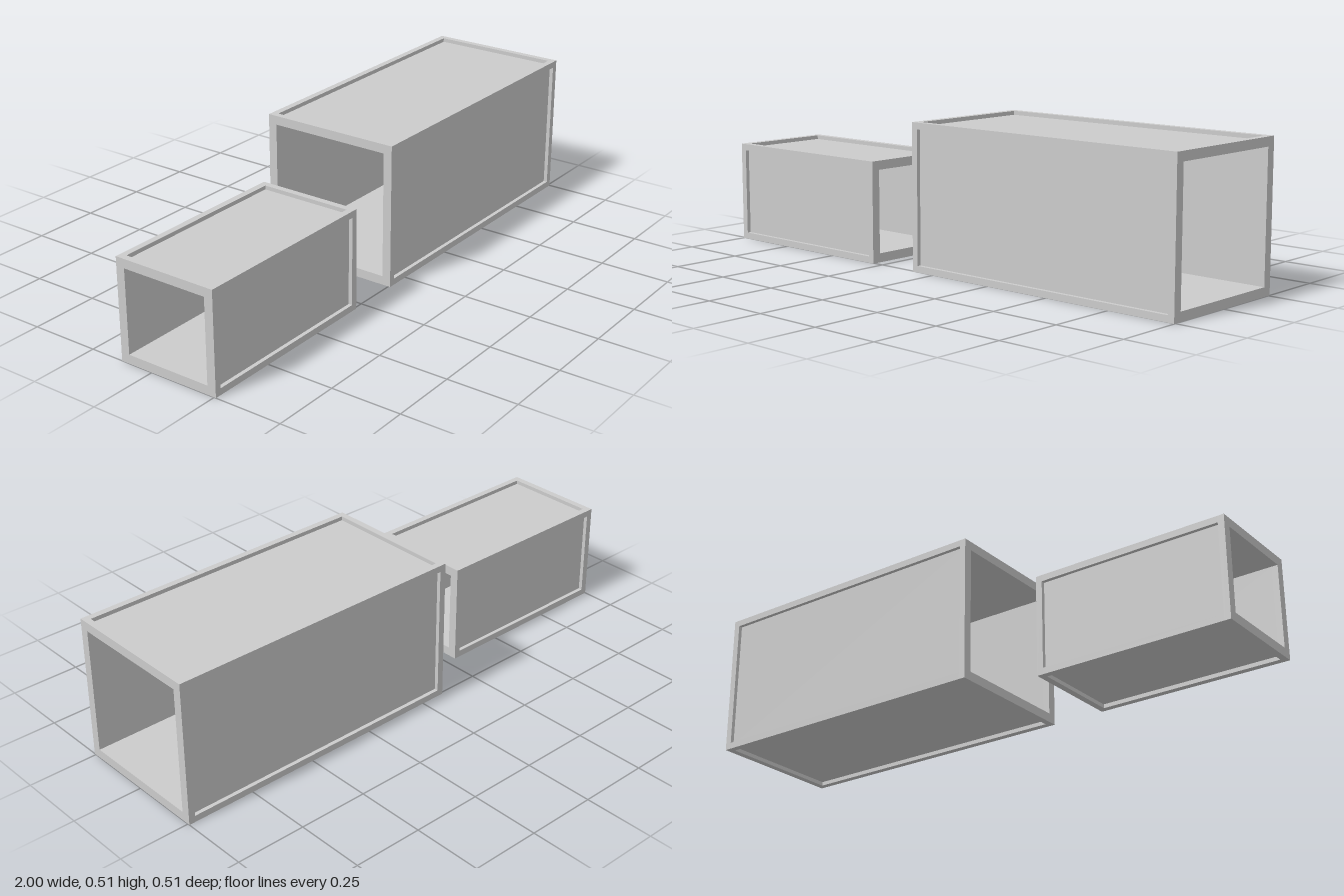
import * as THREE from 'three';

const WALL = 0.032;   // wall thickness
const RIM = 0.023;    // raised border around each panel
const DEPTH = 0.014;  // how far each panel is sunk

// Rectangular tube section in (z, y), optionally with a sunken panel on each outer side
function tubeSection(w, h, sunken) {
  const a = w / 2, b = h / 2, pts = [];
  // corners counter-clockwise
  const corners = [[-a, -b], [a, -b], [a, b], [-a, b]];
  corners.forEach((c, i) => {
    const n = corners[(i + 1) % 4];
    const len = Math.hypot(n[0] - c[0], n[1] - c[1]);
    const u = [(n[0] - c[0]) / len, (n[1] - c[1]) / len]; // along the side
    const at = (s, d) => new THREE.Vector2(c[0] + u[0] * s - u[1] * d, c[1] + u[1] * s + u[0] * d);
    pts.push(at(0, 0));
    if (sunken) pts.push(at(RIM, 0), at(RIM, DEPTH), at(len - RIM, DEPTH), at(len - RIM, 0));
  });
  const shape = new THREE.Shape(pts);
  const p = a - WALL, q = b - WALL;
  shape.holes.push(new THREE.Path([
    new THREE.Vector2(-p, -q), new THREE.Vector2(-p, q),
    new THREE.Vector2(p, q), new THREE.Vector2(p, -q),
  ]));
  return shape;
}

// Open-ended box duct: two full end frames and a panelled body between them
function duct(name, x0, x1, h, z0, z1, material) {
  const group = new THREE.Group();
  group.name = name;
  const add = (part, from, to, sunken) => {
    const geo = new THREE.ExtrudeGeometry(tubeSection(z1 - z0, h, sunken),
      { depth: to - from, bevelEnabled: false });
    geo.rotateY(Math.PI / 2); // extrusion runs along x
    geo.translate(from, h / 2, (z0 + z1) / 2);
    const mesh = new THREE.Mesh(geo, material);
    mesh.name = part;
    group.add(mesh);
  };
  add('rightEndFrame', x0, x0 + RIM, false);
  add('panelledBody', x0 + RIM, x1 - RIM, true);
  add('leftEndFrame', x1 - RIM, x1, false);
  return group;
}

export function createModel() {
  const material = new THREE.MeshStandardMaterial({ color: 0xcccccc, flatShading: true });
  const model = new THREE.Group();
  model.name = 'openBoxes';
  model.add(
    duct('largeBox', -0.092, 1, 0.513, -0.257, 0.257, material),
    duct('smallBox', -1, -0.288, 0.36, -0.124, 0.257, material),
  );
  return model;
}
